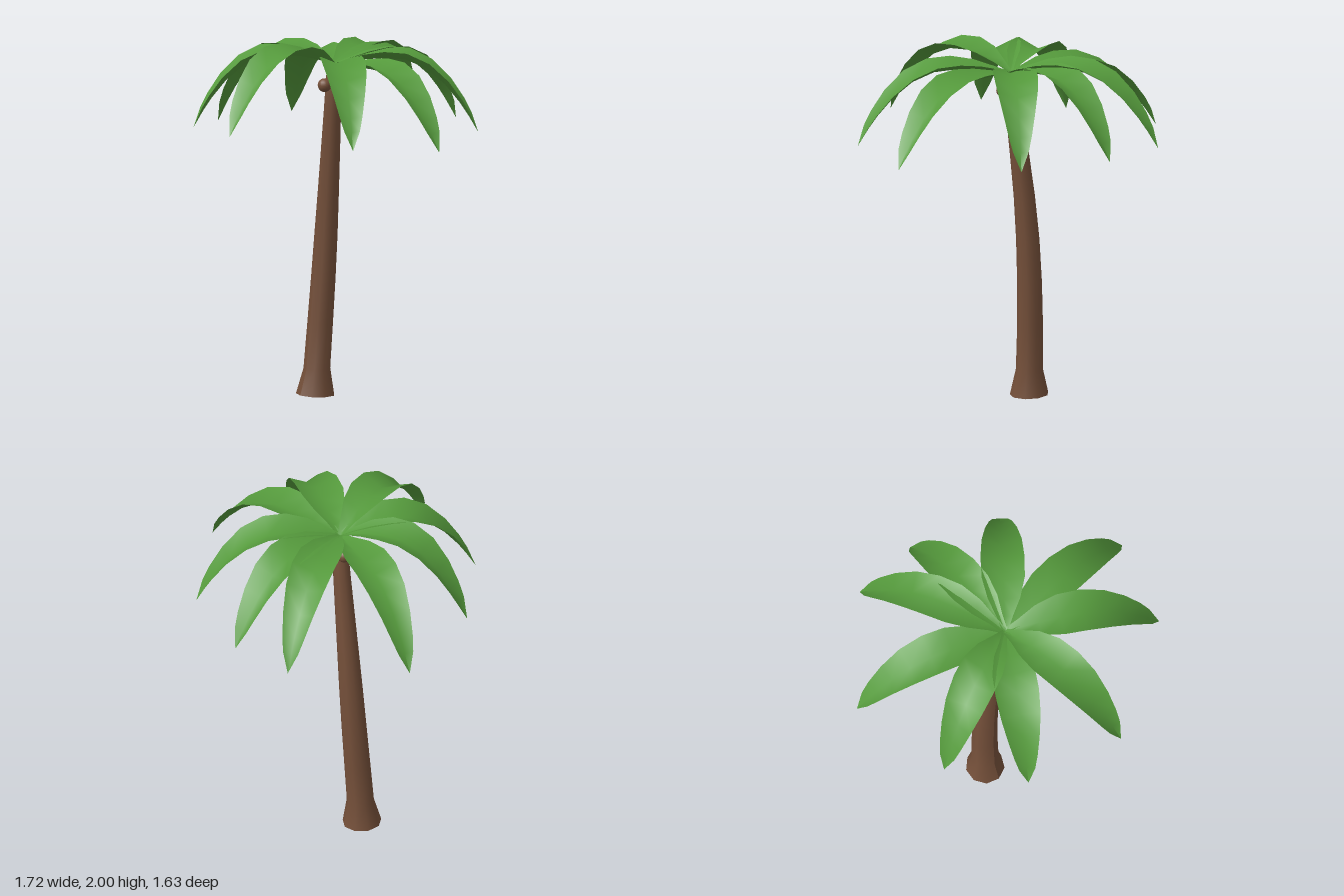
import * as THREE from 'three';

const bark = new THREE.MeshStandardMaterial({ color: 0x75503a });
bark.name = 'bark brown';
const leaf = new THREE.MeshStandardMaterial({ color: 0x559a3c, side: THREE.DoubleSide });
leaf.name = 'leaf green';

const CROWN = new THREE.Vector3(-0.055, 1.86, 0);

// Smooth surface through a grid of points (rows of equal length)
function gridGeometry(rows) {
  const n = rows[0].length, index = [];
  for (let i = 0; i < rows.length - 1; i++) {
    for (let j = 0; j < n - 1; j++) {
      const a = i * n + j, b = a + 1, c = a + n, d = c + 1;
      index.push(a, b, c, b, d, c);
    }
  }
  const geometry = new THREE.BufferGeometry().setFromPoints(rows.flat());
  geometry.setIndex(index);
  geometry.computeVertexNormals();
  return geometry;
}

// Leaning, slightly bowed trunk with a flared foot: [y, centre x, centre z, radius]
function trunkGeometry() {
  const rings = [
    [0, -0.213, 0.002, 0.108], [0.15, -0.207, -0.005, 0.076], [0.4, -0.197, -0.02, 0.073],
    [0.65, -0.182, -0.03, 0.07], [0.9, -0.163, -0.034, 0.066], [1.15, -0.138, -0.031, 0.06],
    [1.4, -0.107, -0.022, 0.054], [1.6, -0.081, -0.013, 0.049], [1.8, -0.057, -0.003, 0.043],
    [1.86, -0.055, 0, 0.02],
  ];
  const sides = 9;
  const geometry = new THREE.CylinderGeometry(1, 1, 1, sides, rings.length - 1);
  const pos = geometry.attributes.position;
  for (let i = 0; i < pos.count; i++) {
    const k = Math.round((pos.getY(i) + 0.5) * (rings.length - 1));
    const [y, cx, cz, r] = rings[k];
    // the foot is cut square to the lean
    const tilt = k === 0 ? 0.006 * (1 - pos.getX(i)) : 0;
    pos.setXYZ(i, cx + pos.getX(i) * r, y + tilt, cz + pos.getZ(i) * r);
  }
  geometry.computeVertexNormals();
  return geometry;
}

// Arched frond with a shallow V fold, running from the crown to its tip
const widths = [[0, 0.015], [0.1, 0.045], [0.22, 0.09], [0.36, 0.119], [0.5, 0.122],
  [0.64, 0.111], [0.77, 0.088], [0.87, 0.064], [0.93, 0.044], [1, 0]];

function frondGeometry(tipX, tipY, tipZ, peak) {
  const out = new THREE.Vector3(tipX - CROWN.x, 0, tipZ - CROWN.z);
  const length = out.length();
  out.normalize();
  const up = new THREE.Vector3(0, 1, 0);
  const side = new THREE.Vector3().crossVectors(out, up);
  const height = (s) => (s < 0.4
    ? peak - (peak - CROWN.y) * ((0.4 - s) / 0.4) ** 2
    : peak - (peak - tipY) * ((s - 0.4) / 0.6) ** 2.15);
  const rows = widths.map(([s, w]) => {
    const mid = CROWN.clone().addScaledVector(out, s * length).setY(height(s));
    const slope = (height(s + 0.01) - height(s - 0.01)) / (0.02 * length);
    const normal = up.clone().addScaledVector(out, -slope).normalize();
    return [-1, 0, 1].map((k) => mid.clone()
      .addScaledVector(side, k * w)
      .addScaledVector(normal, Math.abs(k) * w * 0.42));
  });
  return gridGeometry(rows);
}

export function createModel() {
  const model = new THREE.Group();
  model.name = 'palmTree';

  const trunk = new THREE.Mesh(trunkGeometry(), bark);
  trunk.name = 'trunk';
  model.add(trunk);

  // Coconuts clustered under the crown
  const coconuts = new THREE.Group();
  coconuts.name = 'coconuts';
  const nut = new THREE.SphereGeometry(0.038, 16, 12);
  for (const p of [[-0.062, 1.75, 0.06], [-0.102, 1.755, -0.02], [-0.012, 1.765, -0.015]]) {
    const mesh = new THREE.Mesh(nut, bark);
    mesh.name = 'coconut';
    mesh.position.set(...p);
    coconuts.add(mesh);
  }
  model.add(coconuts);

  // Fronds: tip x, y, z and height of the arch
  const fronds = new THREE.Group();
  fronds.name = 'fronds';
  [
    [0.86, 1.47, -0.01, 1.87], [0.685, 1.5, 0.46, 1.9], [0.04, 1.54, 0.815, 1.95],
    [-0.5, 1.52, 0.635, 1.92], [-0.77, 1.49, 0.245, 1.925], [-0.86, 1.48, -0.35, 1.88],
    [-0.375, 1.51, -0.82, 1.91], [0.01, 1.5, -0.815, 1.9], [0.485, 1.49, -0.59, 1.9],
  ].forEach((f) => {
    const frond = new THREE.Mesh(frondGeometry(...f), leaf);
    frond.name = 'frond';
    fronds.add(frond);
  });
  model.add(fronds);

  return model;
}
